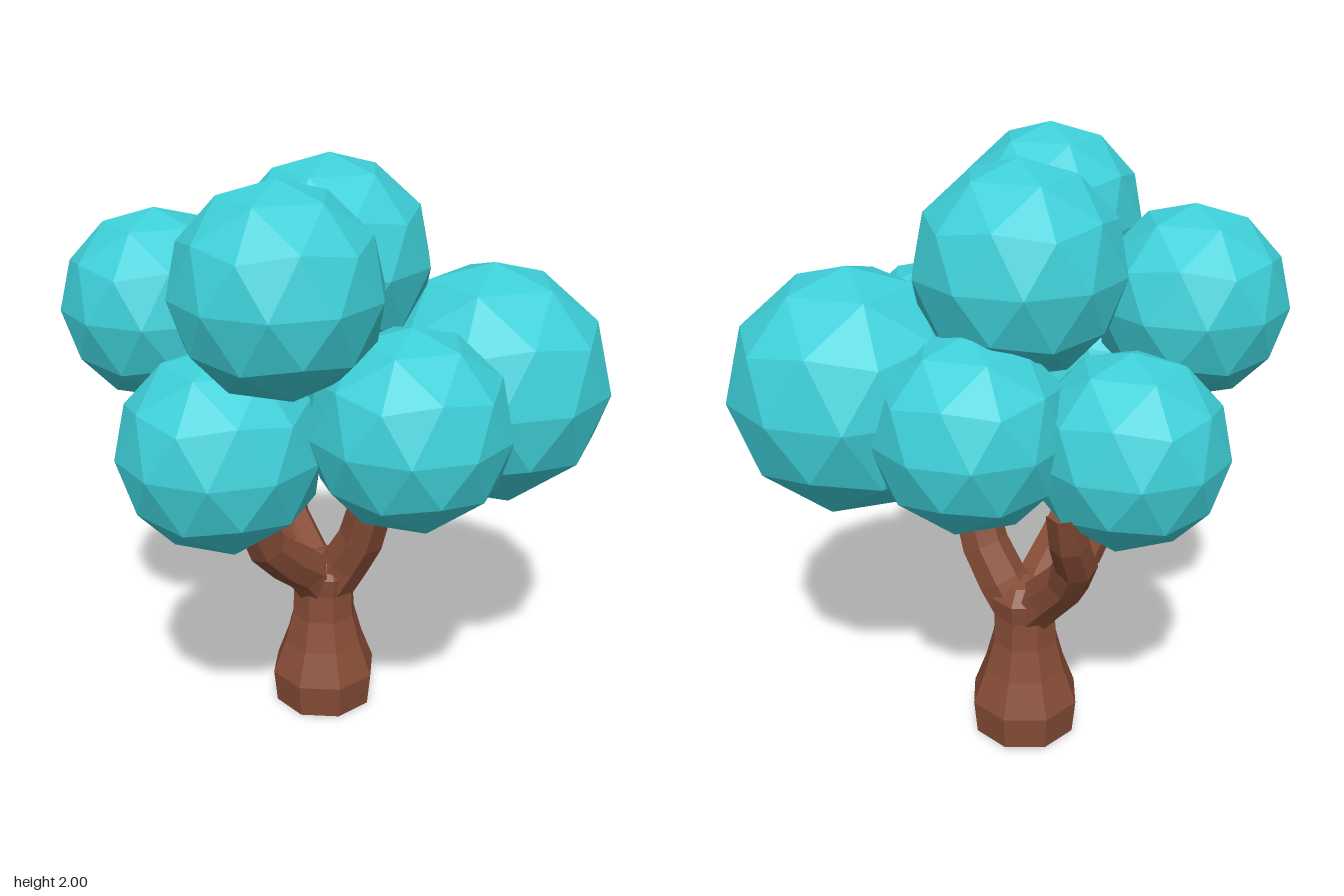
import * as THREE from 'three';

const bark = new THREE.MeshStandardMaterial({ color: 0x874d37, flatShading: true });
const leaf = new THREE.MeshStandardMaterial({ color: 0x3ecfd8, flatShading: true });

// Tapered limb: a unit tube along the path, pulled in towards its centre line
function limb(name, points, r0, r1) {
  const curve = new THREE.CatmullRomCurve3(points.map(p => new THREE.Vector3(...p)));
  const rings = 5, sides = 7;
  const geo = new THREE.TubeGeometry(curve, rings, 1, sides);
  const pos = geo.attributes.position;
  const v = new THREE.Vector3();
  for (let i = 0; i < pos.count; i++) {
    const t = Math.floor(i / (sides + 1)) / rings;
    const c = curve.getPointAt(t);
    v.fromBufferAttribute(pos, i).sub(c).multiplyScalar(THREE.MathUtils.lerp(r0, r1, t)).add(c);
    pos.setXYZ(i, v.x, v.y, v.z);
  }
  const mesh = new THREE.Mesh(geo, bark);
  mesh.name = name;
  return mesh;
}

export function createModel() {
  const tree = new THREE.Group();
  tree.name = 'tree';

  // Trunk with a flared foot
  const profile = [[0, 0], [0.178, 0], [0.19, 0.12], [0.145, 0.24], [0.115, 0.35], [0.11, 0.45], [0.12, 0.52], [0.08, 0.57], [0, 0.59]];
  const trunk = new THREE.Mesh(
    new THREE.LatheGeometry(profile.map(p => new THREE.Vector2(...p)), 8, 0.2), bark);
  trunk.name = 'trunk';
  trunk.position.set(-0.095, 0, -0.095);
  tree.add(trunk);

  // Branches, running up into the foliage
  tree.add(
    limb('leftBranch', [[-0.11, 0.45, -0.1], [-0.21, 0.56, -0.12], [-0.34, 0.71, -0.17], [-0.37, 0.85, -0.26], [-0.38, 1, -0.31]], 0.085, 0.06),
    limb('leftTwig', [[-0.22, 0.56, -0.11], [-0.28, 0.66, -0.04], [-0.32, 0.78, 0], [-0.34, 0.95, 0.03]], 0.05, 0.045),
    limb('frontBranch', [[-0.1, 0.44, -0.09], [-0.1, 0.56, 0.01], [-0.1, 0.68, 0.17], [-0.1, 0.82, 0.26], [-0.09, 0.98, 0.29]], 0.085, 0.06),
    limb('rightBranch', [[-0.08, 0.45, -0.1], [-0.01, 0.57, -0.12], [0.06, 0.69, -0.12], [0.11, 0.84, -0.11], [0.18, 1.05, -0.14]], 0.09, 0.07)
  );

  // Foliage balls: x, y, z, radius; each stands on a corner of the icosahedron
  const ball = new THREE.IcosahedronGeometry(1, 1).rotateZ(-Math.atan(1 / 1.618034));
  const foliage = new THREE.Group();
  foliage.name = 'foliage';
  [
    [0.38, 1.25, -0.375, 0.4],
    [-0.07, 1.2, -0.36, 0.315],
    [-0.07, 1.645, -0.095, 0.34],
    [0.4, 1.235, 0.105, 0.32],
    [0.135, 1.68, 0.4, 0.32],
    [-0.465, 1.515, 0.29, 0.31],
    [-0.07, 1.155, 0.44, 0.325],
    [-0.465, 1.135, -0.08, 0.315],
  ].forEach(([x, y, z, r], i) => {
    const mesh = new THREE.Mesh(ball, leaf);
    mesh.name = 'foliageBall' + (i + 1);
    mesh.position.set(x, y, z);
    mesh.scale.setScalar(r);
    foliage.add(mesh);
  });
  tree.add(foliage);
  return tree;
}
